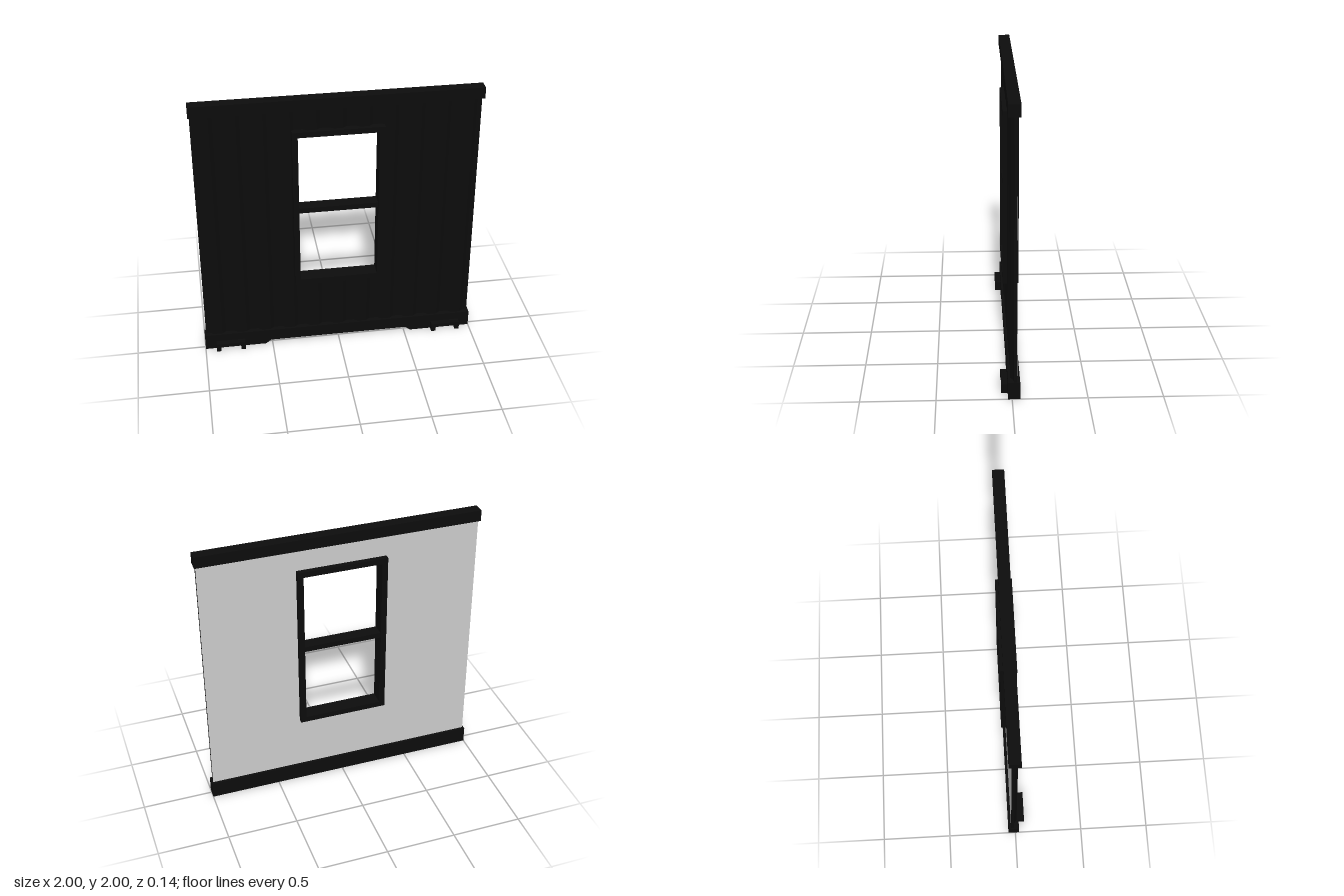
import * as THREE from 'three';

const dark = new THREE.MeshStandardMaterial({ color: 0x0c0c0c });
const grey = new THREE.MeshStandardMaterial({ color: 0xcccccc, side: THREE.DoubleSide });

const polygon = (pts) => new THREE.Shape(pts.map(([x, y]) => new THREE.Vector2(x, y)));

const rectPoints = (x0, x1, y0, y1) => [[x0, y0], [x1, y0], [x1, y1], [x0, y1]];

// Front-facing outline extruded from z0 to z1
function slab(shape, z0, z1) {
  const g = new THREE.ExtrudeGeometry(shape, { depth: z1 - z0, bevelEnabled: false });
  return g.translate(0, 0, z0);
}

function box(x0, x1, y0, y1, z0, z1) {
  return new THREE.BoxGeometry(x1 - x0, y1 - y0, z1 - z0)
    .translate((x0 + x1) / 2, (y0 + y1) / 2, (z0 + z1) / 2);
}

// Height of the trapezoid corrugation at x
const PERIOD = 0.18, SLOPE = 0.03, RIDGE = 0.011, VALLEY = -0.011, BACK = -0.032;
function corrugationBreaks(x0, x1) {
  const pts = [];
  const depthAt = (x) => {
    const t = (((x + 0.06) % PERIOD) + PERIOD) % PERIOD;
    if (t < SLOPE) return VALLEY + (RIDGE - VALLEY) * t / SLOPE;
    if (t < PERIOD / 2) return RIDGE;
    if (t < PERIOD / 2 + SLOPE) return RIDGE - (RIDGE - VALLEY) * (t - PERIOD / 2) / SLOPE;
    return VALLEY;
  };
  pts.push([x0, depthAt(x0)]);
  for (let k = -6; k <= 6; k++) {
    for (const t of [0, SLOPE, PERIOD / 2, PERIOD / 2 + SLOPE]) {
      const x = -0.06 + k * PERIOD + t;
      if (x > x0 + 1e-4 && x < x1 - 1e-4) pts.push([x, depthAt(x)]);
    }
  }
  pts.push([x1, depthAt(x1)]);
  return pts;
}

// Wall section: ribbed front, flat back, extruded upwards
function ribbedWall(x0, x1, y0, y1) {
  const front = corrugationBreaks(x0, x1).map(([x, z]) => [x, -z]);
  const shape = polygon([...front, [x1, -BACK], [x0, -BACK]]);
  const g = new THREE.ExtrudeGeometry(shape, { depth: y1 - y0, bevelEnabled: false });
  return g.rotateX(-Math.PI / 2).translate(0, y0, 0);
}

export function createModel() {
  const model = new THREE.Group();
  model.name = 'windowWallPanel';
  const add = (name, geometry, material = dark) => {
    const mesh = new THREE.Mesh(geometry, material);
    mesh.name = name;
    model.add(mesh);
    return mesh;
  };

  // Corrugated wall around the window
  const W = 0.99, H = 0.3;
  add('wallRight', ribbedWall(-W, -H, 0.1, 1.94));
  add('wallLeft', ribbedWall(H, W, 0.1, 1.94));
  add('wallBelowWindow', ribbedWall(-H, H, 0.1, 0.54));
  add('wallAboveWindow', ribbedWall(-H, H, 1.74, 1.94));

  // Flat inner lining
  const lining = polygon(rectPoints(-W, W, 0.1, 1.94));
  lining.holes.push(polygon(rectPoints(-H, H, 0.54, 1.74)));
  add('innerLining', new THREE.ShapeGeometry(lining).translate(0, 0, BACK - 0.001), grey);

  // Window frame and crossbar
  const frame = polygon(rectPoints(-0.32, 0.32, 0.525, 1.765));
  frame.holes.push(polygon(rectPoints(-0.28, 0.28, 0.565, 1.725)));
  add('windowFrame', slab(frame, -0.07, 0.04));
  add('windowCrossbar', box(-0.28, 0.28, 1.125, 1.163, -0.06, 0.03));

  // Top and bottom rails; the bottom one is relieved along its front
  add('topRail', box(-1, 1, 1.92, 2, -0.053, 0.027));
  add('bottomRailBack', box(-1, 1, 0, 0.12, -0.053, -0.035));
  add('bottomRailFront', slab(polygon([
    [-1, 0], [-0.55, 0], [-0.51, 0.03], [0.51, 0.03], [0.55, 0], [1, 0], [1, 0.12], [-1, 0.12],
  ]), -0.035, 0.027));

  // Arched brackets on the front of the bottom rail
  for (const side of [-1, 1]) {
    const arch = polygon([
      [-0.107, 0], [-0.075, 0], [-0.075, 0.03], [-0.06, 0.045], [0.06, 0.045], [0.075, 0.03],
      [0.075, 0], [0.107, 0], [0.107, 0.063], [-0.107, 0.063],
    ]);
    add(side > 0 ? 'bracketLeft' : 'bracketRight', slab(arch, 0.02, 0.07)).position.x = side * 0.812;
  }
  return model;
}
